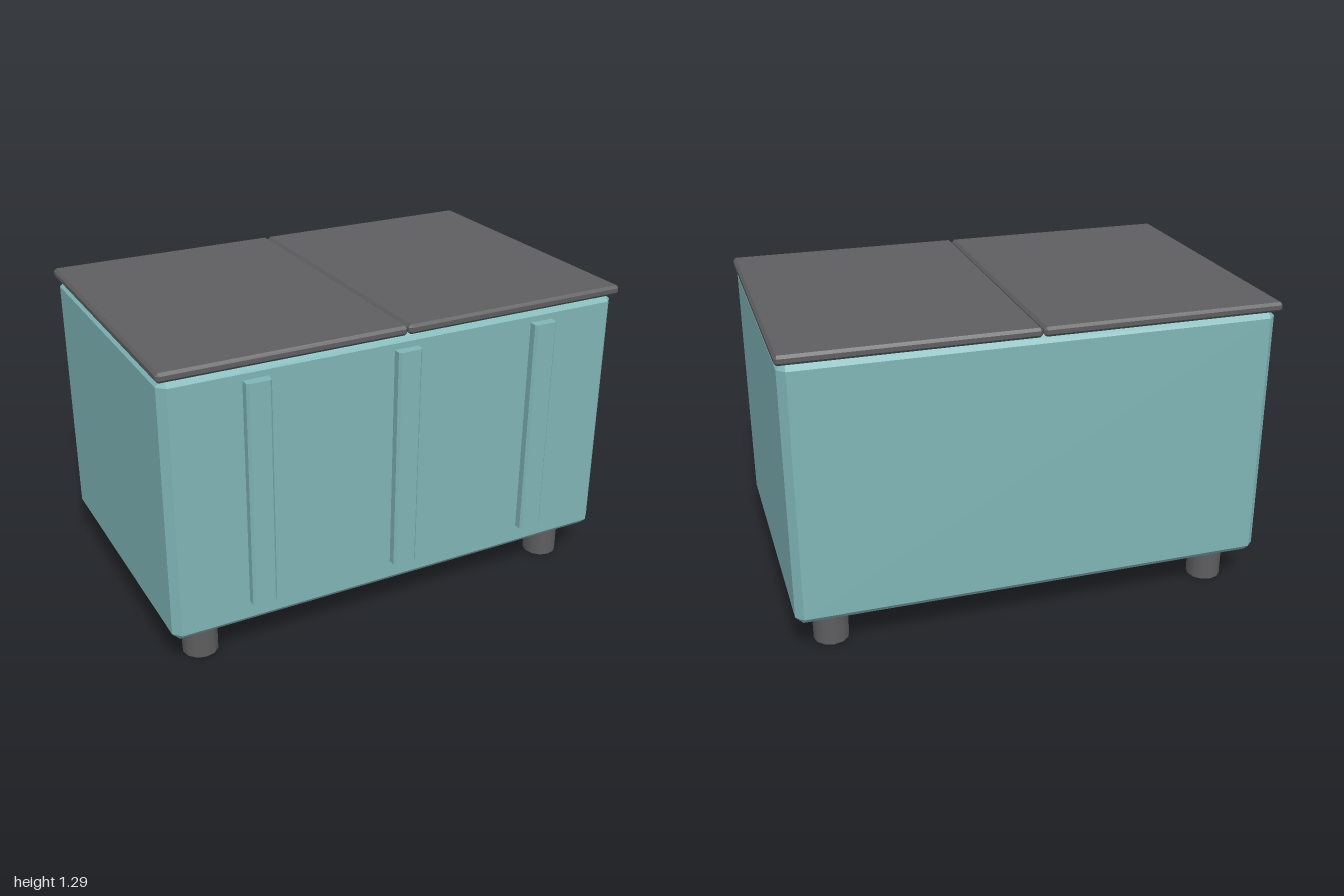
import * as THREE from 'three';
import { ConvexGeometry } from 'three/addons/geometries/ConvexGeometry.js';

const teal = new THREE.MeshStandardMaterial({ name: 'teal', color: 0x7fb4b6 });
const charcoal = new THREE.MeshStandardMaterial({ name: 'charcoal', color: 0x5e5d5f });

// Box between two corners, with every edge and corner cut by c
function chamferBox(min, max, c) {
  const size = max.map((v, i) => (v - min[i]) / 2);
  const mid = max.map((v, i) => (v + min[i]) / 2);
  const points = [];
  for (const sx of [-1, 1]) for (const sy of [-1, 1]) for (const sz of [-1, 1]) {
    for (let face = 0; face < 3; face++) {
      const p = [sx, sy, sz].map((s, i) => mid[i] + s * (size[i] - (i === face ? 0 : c)));
      points.push(new THREE.Vector3(...p));
    }
  }
  return new ConvexGeometry(points);
}

export function createModel() {
  const group = new THREE.Group();
  const add = (name, geometry, material, x = 0, y = 0, z = 0) => {
    const mesh = new THREE.Mesh(geometry, material);
    mesh.name = name;
    mesh.position.set(x, y, z);
    group.add(mesh);
  };

  // Chest body
  add('body', chamferBox([-0.99, 0.16, -0.635], [0.99, 1.255, 0.615], 0.031), teal);

  // Two lid panels with a narrow gap between them
  add('rightLid', chamferBox([-1, 1.254, -0.655], [-0.002, 1.293, 0.633], 0.011), charcoal);
  add('leftLid', chamferBox([0.002, 1.254, -0.655], [1, 1.293, 0.633], 0.011), charcoal);

  // Upright slats on the front, front edges chamfered
  const profile = new THREE.Shape([
    [-0.051, 0], [0.051, 0], [0.051, 0.035], [0.041, 0.045], [-0.041, 0.045], [-0.051, 0.035],
  ].map(([x, z]) => new THREE.Vector2(x, -z)).reverse());
  const slat = new THREE.ExtrudeGeometry(profile, { depth: 0.935, bevelEnabled: false });
  slat.rotateX(-Math.PI / 2);
  for (const x of [-0.625, 0, 0.625]) add('frontSlat', slat, teal, x, 0.264, 0.61);

  // Round feet
  const foot = new THREE.CylinderGeometry(0.073, 0.073, 0.17, 12);
  for (const x of [-0.835, 0.835]) {
    for (const z of [-0.478, 0.46]) add('foot', foot, charcoal, x, 0.085, z);
  }
  return group;
}
